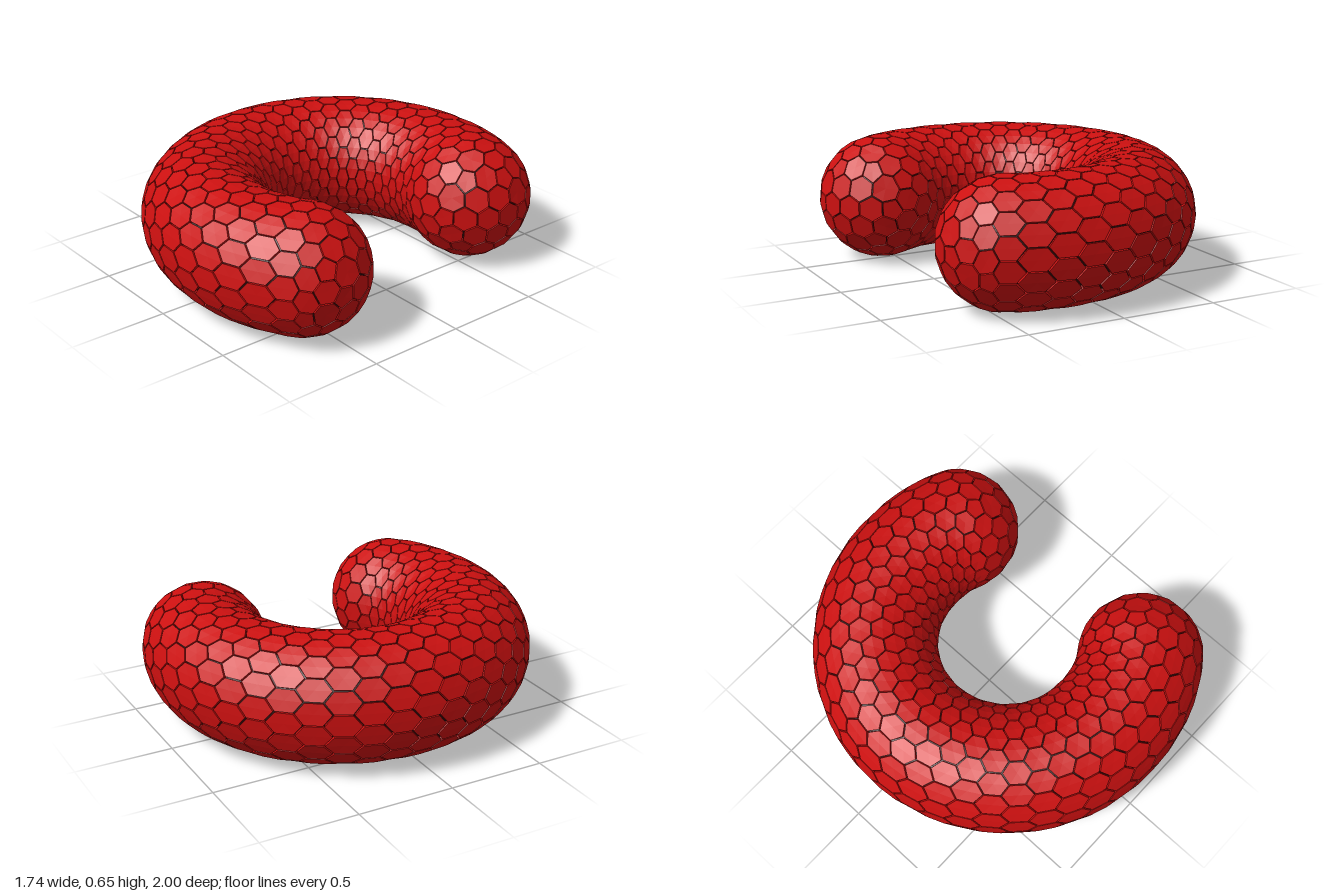
import * as THREE from 'three';

const TUBE = 0.324, ARC = 0.677, CENTRE_X = 0.13;
const START = THREE.MathUtils.degToRad(53.2), END = THREE.MathUtils.degToRad(295.5);
const LENGTH = ARC * (END - START);

// Bends a point of a straight capsule (axis along x, 0..LENGTH) into the C shape
function bend(p) {
  const t = THREE.MathUtils.clamp(p.x, 0, LENGTH), a = START + t / ARC, extra = p.x - t;
  const c = Math.cos(a), s = Math.sin(a);
  const radius = ARC + 0.03 * Math.max(0, c) + p.y;
  return new THREE.Vector3(CENTRE_X + radius * c - extra * s, TUBE + p.z, radius * s + extra * c);
}

// Nearest axis point and outward normal on the straight capsule
function surface(p) {
  const axis = new THREE.Vector3(THREE.MathUtils.clamp(p.x, 0, LENGTH), 0, 0);
  return { axis, normal: p.clone().sub(axis).normalize() };
}

// Rings of plate centres: a domed pattern at both ends, staggered rings of 18 between
function makeRings() {
  const cap = [[1, 0], [6, 0.115], [12, 0.225], [15, 0.325], [18, 0.42]];
  const dome = cap.map(([n, arc]) => ({
    n, x: -TUBE * Math.cos(arc / TUBE), r: TUBE * Math.sin(arc / TUBE),
  }));
  const rings = [...dome];
  for (let i = 0; i <= 30; i++) rings.push({ n: 18, x: LENGTH * i / 30, r: TUBE });
  dome.slice().reverse().forEach(d => rings.push({ n: d.n, x: LENGTH - d.x, r: d.r }));
  rings.forEach((ring, k) => {
    const shift = ring.n === 18 ? (k % 2) * 0.5 : ring.n === 15 ? 0.2 : 0;
    ring.angle = i => (i + shift) / ring.n * Math.PI * 2;
    ring.cells = Array.from({ length: ring.n }, (_, i) => ({
      centre: new THREE.Vector3(ring.x, ring.r * Math.cos(ring.angle(i)), ring.r * Math.sin(ring.angle(i))),
      corners: [],
    }));
  });
  return rings;
}

// Joins two rings with triangles; each triangle's middle is a corner of three plates
function joinRings(a, b) {
  let i = 0, j = 0;
  while (i < a.n || j < b.n) {
    const stepA = j >= b.n || (i < a.n &&
      Math.abs(a.angle(i + 1) - b.angle(j)) < Math.abs(b.angle(j + 1) - a.angle(i)));
    const trio = [a.cells[i % a.n], b.cells[j % b.n]];
    trio.push(stepA ? a.cells[++i % a.n] : b.cells[++j % b.n]);
    if (new Set(trio).size < 3) continue;
    const mid = new THREE.Vector3();
    trio.forEach(c => mid.addScaledVector(c.centre, 1 / 3));
    trio.forEach(c => c.corners.push(mid));
  }
}

// One raised plate: a flat top fan and a skirt down into the groove
function addPlate(cell, out) {
  const { normal } = surface(cell.centre);
  const e1 = new THREE.Vector3(0.3, 1, 0.2).cross(normal);
  if (e1.length() < 0.3) e1.set(1, 0, 0).cross(normal);
  e1.normalize();
  const e2 = normal.clone().cross(e1);
  const angle = p => {
    const d = p.clone().sub(cell.centre);
    return Math.atan2(d.dot(e2), d.dot(e1));
  };
  const corners = cell.corners.slice().sort((p, q) => angle(p) - angle(q));
  const middle = new THREE.Vector3();
  corners.forEach(p => middle.addScaledVector(p, 1 / corners.length));
  const place = (p, height) => {
    const { axis, normal: n } = surface(p.clone().lerp(middle, 0.055));
    return bend(axis.addScaledVector(n, height));
  };
  const top = corners.map(p => place(p, TUBE)), low = corners.map(p => place(p, TUBE - 0.03));
  const hub = new THREE.Vector3();
  top.forEach(p => hub.addScaledVector(p, 1 / top.length));
  top.forEach((p, i) => {
    const k = (i + 1) % top.length;
    for (const v of [hub, p, top[k], p, low[i], low[k], p, low[k], top[k]]) out.push(v.x, v.y, v.z);
  });
}

export function createModel() {
  const group = new THREE.Group();
  group.name = 'platedRing';

  // Dark core visible in the grooves
  const core = new THREE.CapsuleGeometry(TUBE - 0.02, LENGTH, 10, 36, 48);
  core.rotateZ(-Math.PI / 2).translate(LENGTH / 2, 0, 0);
  const pos = core.attributes.position, v = new THREE.Vector3();
  for (let i = 0; i < pos.count; i++) {
    const b = bend(v.fromBufferAttribute(pos, i));
    pos.setXYZ(i, b.x, b.y, b.z);
  }
  core.computeVertexNormals();
  const coreMesh = new THREE.Mesh(core, new THREE.MeshStandardMaterial({ color: 0x2a0404 }));
  coreMesh.name = 'core';
  group.add(coreMesh);

  // Hexagonal plates
  const rings = makeRings();
  for (let k = 0; k + 1 < rings.length; k++) joinRings(rings[k], rings[k + 1]);
  const out = [];
  rings.forEach(ring => ring.cells.forEach(cell => addPlate(cell, out)));
  const plates = new THREE.BufferGeometry();
  plates.setAttribute('position', new THREE.Float32BufferAttribute(out, 3));
  plates.computeVertexNormals();
  const plateMesh = new THREE.Mesh(plates, new THREE.MeshStandardMaterial({ color: 0xcc1010, flatShading: true }));
  plateMesh.name = 'hexagonalPlates';
  group.add(plateMesh);
  return group;
}
